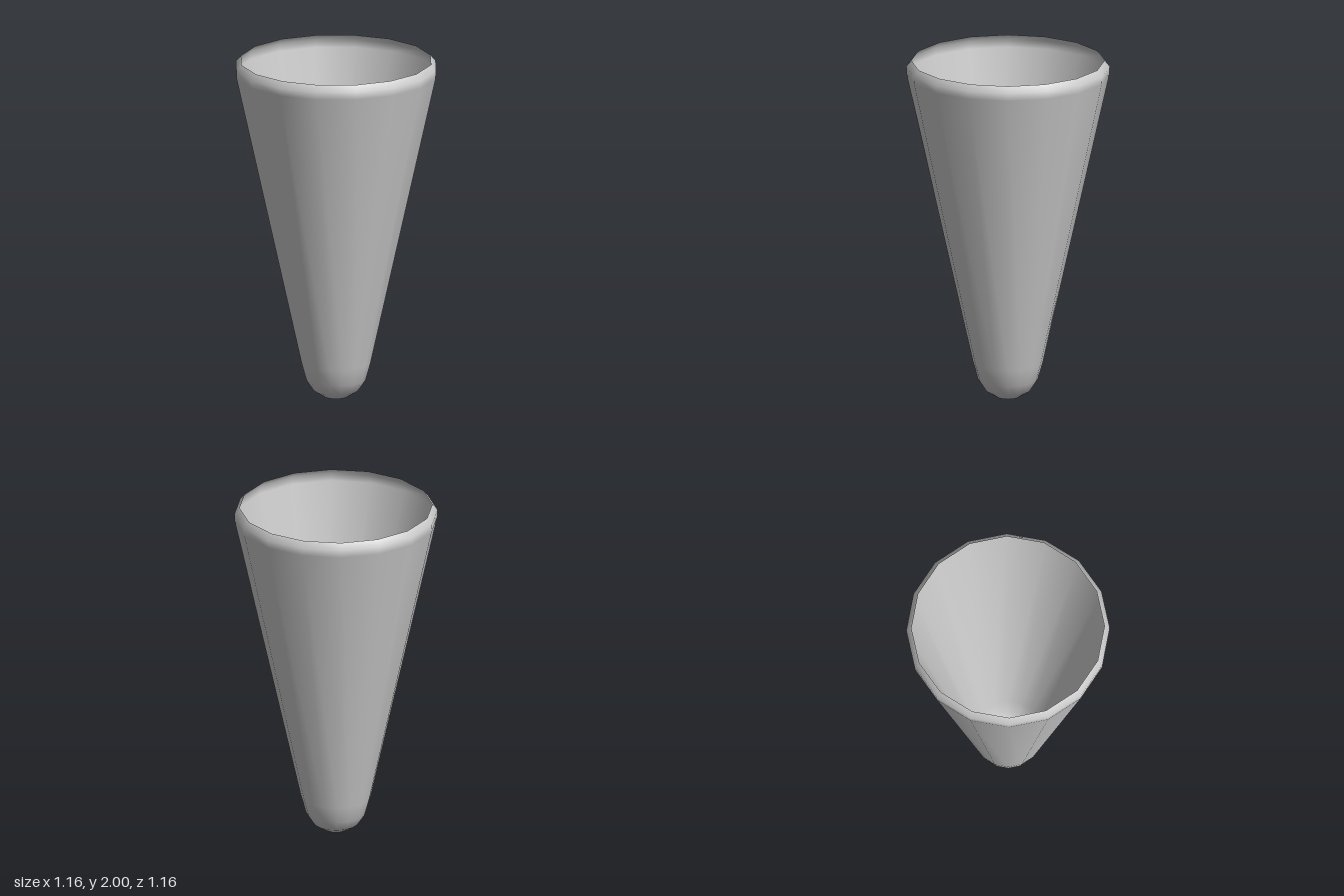
import * as THREE from 'three';

export function createModel() {
  const group = new THREE.Group();
  group.name = 'taperedCup';

  // Profile from the rounded tip, up the tapering wall, to the inward-turned rim
  const profile = [
    [0, 0], [0.065, 0.015], [0.13, 0.055], [0.172, 0.12], [0.2, 0.22],
    [0.578, 1.92], [0.58, 1.965], [0.55, 2],
  ].map(([r, y]) => new THREE.Vector2(r, y));

  // Open thin-walled shell with sixteen sides
  const shell = new THREE.Mesh(
    new THREE.LatheGeometry(profile, 16),
    new THREE.MeshStandardMaterial({ color: 0xcccccc, side: THREE.DoubleSide }),
  );
  shell.name = 'cupShell';
  group.add(shell);
  return group;
}
